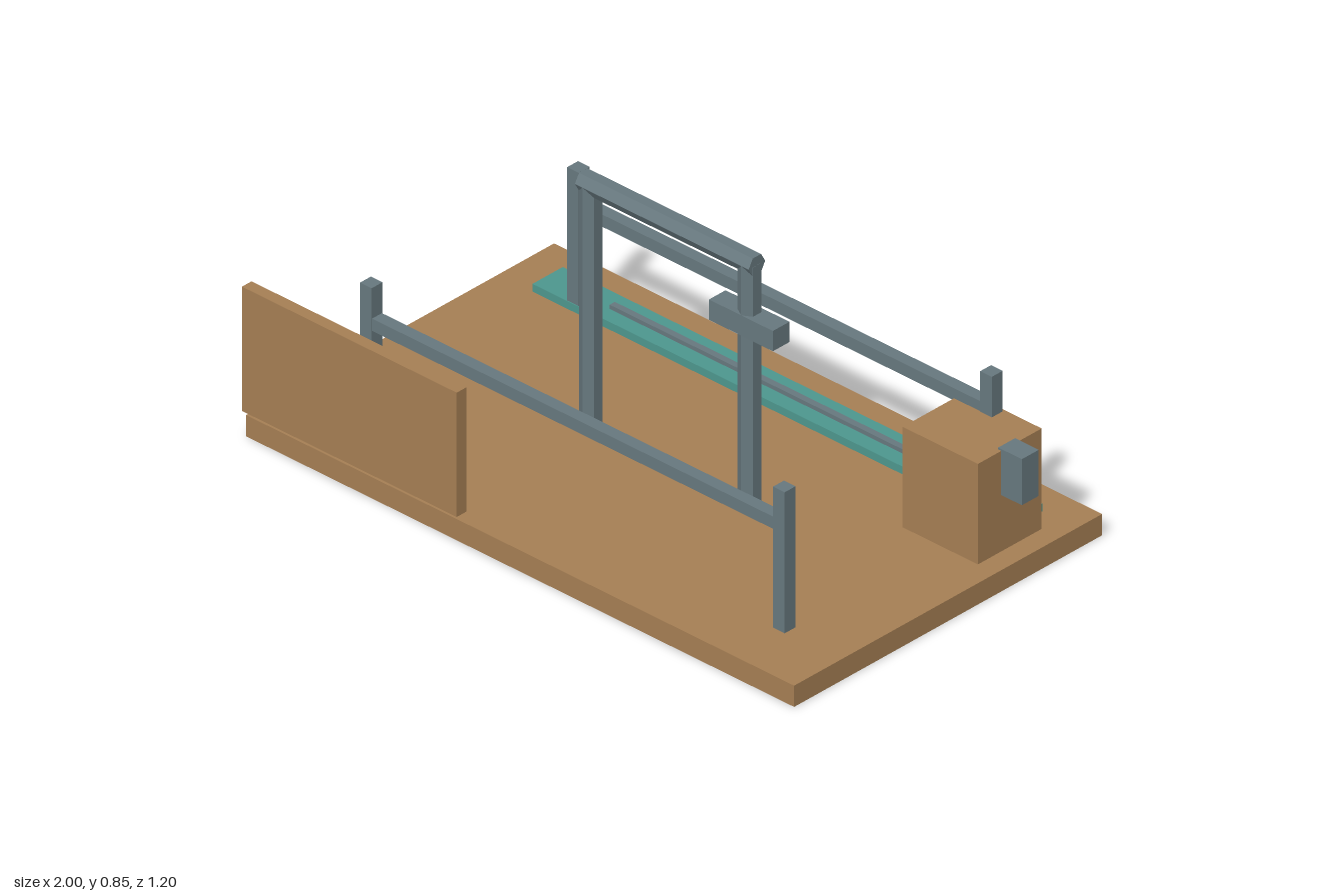
import * as THREE from 'three';

const mat = (color) => new THREE.MeshStandardMaterial({ color, flatShading: true });

export function createModel() {
  const model = new THREE.Group();
  const wood = mat(0xa67f54), steel = mat(0x67787e), teal = mat(0x4d978e);

  // Box given by its extents along each axis
  const box = (name, material, [x0, x1], [y0, y1], [z0, z1], parent = model) => {
    const mesh = new THREE.Mesh(new THREE.BoxGeometry(x1 - x0, y1 - y0, z1 - z0), material);
    mesh.name = name;
    mesh.position.set((x0 + x1) / 2, (y0 + y1) / 2, (z0 + z1) / 2);
    parent.add(mesh);
    return mesh;
  };

  // Wooden base and front panel
  box('base', wood, [-1, 0.99], [0, 0.066], [-0.602, 0.586]);
  box('frontPanel', wood, [-1, -0.22], [0.086, 0.472], [0.565, 0.602]);

  // Two rails, each carried by a pair of square posts
  for (const [side, z] of [['front', 0.39], ['back', -0.409]]) {
    const fence = new THREE.Group();
    fence.name = side + 'Fence';
    for (const x of [-0.73, 0.77]) {
      box('post', steel, [x - 0.021, x + 0.021], [0.066, 0.504], [z - 0.021, z + 0.021], fence);
    }
    box('rail', steel, [-0.73, 0.77], [0.371, 0.409], [z - 0.019, z + 0.019], fence);
    model.add(fence);
  }

  // Hexagonal-tube arch, corners of the tube pointing along z
  const arch = new THREE.Group();
  arch.name = 'arch';
  arch.position.z = 0.007;
  const tube = (name, length, x, y) => {
    const mesh = new THREE.Mesh(new THREE.CylinderGeometry(0.032, 0.032, length, 6), steel);
    mesh.name = name;
    mesh.position.set(x, y, 0);
    arch.add(mesh);
    return mesh;
  };
  for (const x of [-0.294, 0.283]) tube('archLeg', 0.745, x, 0.4525);
  tube('archCrossbar', 0.631, -0.0055, 0.825).rotation.z = Math.PI / 2;
  box('slidingBlock', steel, [0.166, 0.398], [0.609, 0.672], [-0.032, 0.032], arch);
  model.add(arch);

  // Flat track with a raised strip along the back
  box('track', teal, [-0.875, 0.866], [0.066, 0.09], [-0.503, -0.386]);
  box('trackStrip', steel, [-0.64, 0.63], [0.09, 0.103], [-0.454, -0.434]);

  // Corner box with a block on its outer side
  box('cornerBox', wood, [0.652, 0.925], [0.066, 0.378], [-0.438, -0.192]);
  box('sideBlock', steel, [0.914, 1], [0.241, 0.384], [-0.347, -0.282]);

  return model;
}
